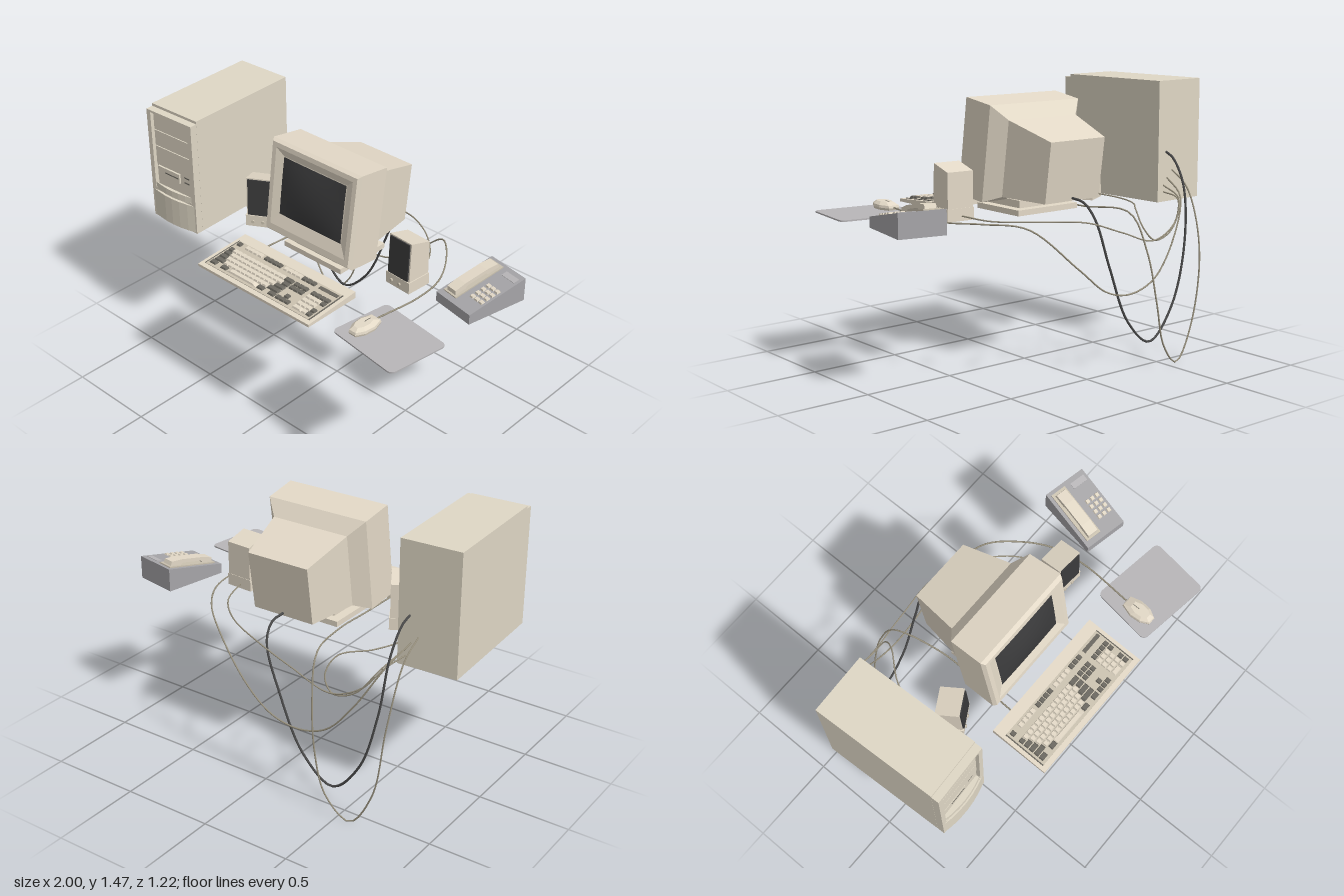
import * as THREE from 'three';
import { mergeGeometries } from 'three/addons/utils/BufferGeometryUtils.js';

const DESK = 0.825;
const mat = (name, color) => {
  const m = new THREE.MeshStandardMaterial({ color });
  m.name = name;
  return m;
};

export function createModel() {
  const M = {
    tower: mat('tower beige', 0xdfd7c5),
    beige: mat('warm beige', 0xe3d9c7),
    bed: mat('shaded beige', 0xcbc2b0),
    grey: mat('phone grey', 0xa6a5a8),
    pad: mat('pad grey', 0xb8b6b8),
    darkKey: mat('dark key', 0x6c6961),
    black: mat('glass black', 0x3a3a3b),
    cable: mat('cable grey', 0x99927f),
    thick: mat('cable dark', 0x4a4a4a),
  };
  const root = new THREE.Group();
  root.name = 'desktopComputer';

  const group = (name, parent, x, y, z, ry = 0, rx = 0) => {
    const g = new THREE.Group();
    g.name = name;
    g.position.set(x, y, z);
    g.rotation.set(rx, ry, 0);
    parent.add(g);
    return g;
  };
  const add = (parent, name, geo, m, x = 0, y = 0, z = 0) => {
    const mesh = new THREE.Mesh(geo, m);
    mesh.name = name;
    mesh.position.set(x, y, z);
    parent.add(mesh);
    return mesh;
  };
  const box = (parent, name, m, w, h, d, x, y, z) =>
    add(parent, name, new THREE.BoxGeometry(w, h, d), m, x, y, z);

  // Flat-faced loft through polygons [[x, y], ...] placed at rising z
  const loft = (sections) => {
    const v = [], n = sections[0].pts.length;
    const tri = (...ps) => ps.forEach(([s, i]) => v.push(...sections[s].pts[i % n], sections[s].z));
    for (let s = 0; s < sections.length - 1; s++)
      for (let i = 0; i < n; i++) {
        tri([s, i], [s, i + 1], [s + 1, i + 1]);
        tri([s, i], [s + 1, i + 1], [s + 1, i]);
      }
    const e = sections.length - 1;
    for (let i = 1; i < n - 1; i++) {
      tri([0, 0], [0, i + 1], [0, i]);
      tri([e, 0], [e, i], [e, i + 1]);
    }
    const g = new THREE.BufferGeometry();
    g.setAttribute('position', new THREE.Float32BufferAttribute(v, 3));
    g.computeVertexNormals();
    return g;
  };
  const rect = (hw, y0, y1, z) => ({ z, pts: [[-hw, y0], [hw, y0], [hw, y1], [-hw, y1]] });
  const poly = (pts) => new THREE.Shape(pts.map((p) => new THREE.Vector2(...p)));
  const extrude = (shape, depth) =>
    new THREE.ExtrudeGeometry(shape, { depth, bevelEnabled: false, curveSegments: 6 });
  // Side profile of (z, y) points, stretched across x
  const side = (pts, w) => extrude(poly(pts), w).rotateY(-Math.PI / 2).translate(w / 2, 0, 0);
  const keycap = (w, d, h) =>
    loft([rect(w / 2, -d / 2, d / 2, 0), rect(w * 0.38, -d * 0.36, d * 0.4, h)]).rotateX(-Math.PI / 2);

  // Tower case with recessed drive bays and a bowed lower panel
  const tower = group('tower', root, -0.82, DESK, 0.03, 0.045);
  box(tower, 'towerCase', M.tower, 0.325, 0.655, 0.68, 0, 0.3275, 0);
  const frame = poly([[-0.162, 0], [0.162, 0], [0.162, 0.64], [-0.162, 0.64]]);
  frame.holes.push(poly([[-0.135, 0.18], [-0.135, 0.628], [0.135, 0.628], [0.135, 0.18]]));
  add(tower, 'towerBezel', extrude(frame, 0.042), M.tower, 0, 0, 0.34);
  box(tower, 'bezelFloor', M.tower, 0.272, 0.45, 0.018, 0, 0.404, 0.349);
  for (const [y, h] of [[0.577, 0.095], [0.48, 0.09], [0.376, 0.108]])
    box(tower, 'driveBay', M.tower, 0.252, h, 0.014, 0, y, 0.362);
  box(tower, 'floppyDrive', M.tower, 0.16, 0.055, 0.014, -0.043, 0.282, 0.362);
  box(tower, 'floppySlot', M.darkKey, 0.1, 0.006, 0.004, -0.02, 0.284, 0.369);
  for (const y of [0.3, 0.27]) box(tower, 'powerButton', M.darkKey, 0.035, 0.007, 0.006, 0.085, y, 0.358);
  const bow = new THREE.Shape();
  bow.moveTo(-0.16, 0);
  bow.quadraticCurveTo(0, -0.045, 0.16, 0);
  const bulge = extrude(bow, 1).rotateX(-Math.PI / 2);
  add(tower, 'lowerPanel', bulge, M.tower, 0, 0.005, 0.38).scale.y = 0.16;
  add(tower, 'panelLip', bulge, M.tower, 0, 0.172, 0.378).scale.set(0.85, 0.038, 0.8);

  // Monitor, leaning back on its stand
  const monitor = group('monitor', root, -0.02, 1.15, 0.05, 0, -0.14);
  add(monitor, 'monitorShell', loft([
    rect(0.18, -0.181, 0.137, -0.435),
    rect(0.225, -0.215, 0.188, -0.15),
    rect(0.297, -0.255, 0.254, -0.08),
    rect(0.301, -0.26, 0.257, 0.11),
    rect(0.288, -0.245, 0.244, 0.13),
    rect(0.262, -0.21, 0.218, 0.13),
    rect(0.217, -0.145, 0.178, 0.114),
  ]), M.beige);
  const glass = new THREE.PlaneGeometry(0.428, 0.318, 12, 10);
  const gp = glass.attributes.position;
  for (let i = 0; i < gp.count; i++) {
    const u = gp.getX(i) / 0.214, w = gp.getY(i) / 0.159;
    gp.setZ(i, 0.024 * (1 - u * u * 0.9) * (1 - w * w * 0.9));
  }
  glass.computeVertexNormals();
  add(monitor, 'screen', glass, M.black, 0, 0.0165, 0.116);
  const stand = group('monitorStand', root, -0.02, DESK, 0);
  box(stand, 'standBase', M.beige, 0.4, 0.03, 0.34, 0, 0.016, 0);
  box(stand, 'standRiser', M.beige, 0.3, 0.04, 0.26, 0, 0.05, 0.01);

  // Pair of speakers with grilles that lean back
  for (const [name, x, z, ry] of [['rightSpeaker', -0.482, 0.062, 0.52], ['leftSpeaker', 0.475, -0.01, -0.07]]) {
    const s = group(name, root, x, DESK, z, ry);
    box(s, 'speakerBase', M.beige, 0.16, 0.065, 0.145, 0, 0.0325, 0);
    add(s, 'speakerBox', side([[-0.07, 0.065], [0.066, 0.065], [0.056, 0.285], [-0.07, 0.25]], 0.15), M.beige);
    add(s, 'speakerGrille', side([[0.064, 0.07], [0.075, 0.07], [0.063, 0.278], [0.054, 0.278]], 0.134), M.black);
    for (const kx of [-0.04, 0.015])
      add(s, 'speakerKnob', new THREE.CylinderGeometry(0.009, 0.009, 0.012, 10).rotateX(Math.PI / 2),
        M.bed, kx, 0.03, 0.075);
  }

  // Keyboard wedge with rows of keys: positive width light, negative dark, string a gap
  const kb = group('keyboard', root, -0.0175, DESK, 0.439);
  add(kb, 'keyboardCase', side([[-0.1685, 0], [0.1685, 0], [0.1685, 0.015], [-0.1685, 0.037]], 0.785), M.beige);
  const deck = group('keyboardDeck', kb, 0, 0.026, 0, 0, 0.0656);
  box(deck, 'keyBed', M.bed, 0.735, 0.004, 0.245, 0, 0.001, 0.018);
  for (const x of [-0.368, 0.368]) box(deck, 'bedEdge', M.darkKey, 0.006, 0.005, 0.245, x, 0.001, 0.018);
  const lights = (n) => Array(n).fill(1);
  const nav = ['.2', -1, -1, -1, '.8'];
  const rows = [
    [-1, '1', 1, 1, 1, 1, '.5', -1, -1, -1, -1, '.5', 1, 1, 1, 1, '.2', -1, -1, -1],
    [-1, ...lights(12), -2, ...nav, -1, -1, -1, -1],
    [-1.5, ...lights(12), -1.5, ...nav, 1, 1, 1, -1],
    [-1.75, ...lights(11), -2.25, '4', 1, 1, 1],
    [-2.25, ...lights(10), -2.75, '1.2', -1, '1.8', 1, 1, 1, -1],
    [-1.5, '1', -1.5, 7, -1.5, '1', -1.5, ...nav, 2, 1, -1],
  ];
  const caps = { light: [], dark: [] };
  const zs = [-0.08, -0.021, 0.012, 0.045, 0.078, 0.111];
  rows.forEach((row, r) => {
    let x = -0.355;
    for (const k of row) {
      const w = Math.abs(Number(k)) * 0.031;
      if (typeof k === 'number')
        caps[k > 0 ? 'light' : 'dark'].push(keycap(w - 0.003, 0.028, 0.011).translate(x + w / 2, 0.002, zs[r]));
      x += w;
    }
  });
  add(deck, 'lightKeys', mergeGeometries(caps.light), M.beige);
  add(deck, 'darkKeys', mergeGeometries(caps.dark), M.darkKey);
  box(deck, 'indicatorPanel', M.darkKey, 0.125, 0.004, 0.022, 0.295, 0.003, -0.08);

  // Mouse pad with rounded corners
  const pad = group('mousePad', root, 0.719, DESK, 0.412, -0.145);
  const ps = new THREE.Shape(), a = 0.217, b = 0.174, c = 0.03;
  ps.absarc(a - c, b - c, c, 0, Math.PI / 2);
  ps.absarc(c - a, b - c, c, Math.PI / 2, Math.PI);
  ps.absarc(c - a, c - b, c, Math.PI, Math.PI * 1.5);
  ps.absarc(a - c, c - b, c, Math.PI * 1.5, Math.PI * 2);
  add(pad, 'padSheet', extrude(ps, 0.008).rotateX(-Math.PI / 2), M.pad);

  // Mouse
  const mouse = group('mouse', root, 0.584, DESK + 0.008, 0.434, -0.03);
  const half = [[0.022, -0.09], [0.046, -0.045], [0.052, 0.02], [0.032, 0.083]];
  const outline = [...half, ...half.map(([x, y]) => [-x, y]).reverse()];
  const ring = (k, z, dy = 0) => ({ z, pts: outline.map(([x, y]) => [x * k, y * k + dy]) });
  add(mouse, 'mouseBody', loft([ring(0.94, 0), ring(1, 0.012), ring(0.95, 0.025), ring(0.6, 0.04, -0.01)])
    .rotateX(-Math.PI / 2), M.beige);
  box(mouse, 'buttonSplit', M.darkKey, 0.003, 0.003, 0.04, 0, 0.04, -0.018);

  // Telephone
  const phone = group('telephone', root, 0.84, DESK, -0.135, -0.2);
  add(phone, 'phoneBase', side([[-0.178, 0], [0.178, 0], [0.178, 0.055], [-0.178, 0.128]], 0.25), M.grey);
  const top = group('phoneTop', phone, 0, 0.0915, 0, 0, 0.203);
  box(top, 'handsetCradle', M.bed, 0.092, 0.008, 0.31, -0.06, 0.003, -0.005);
  add(top, 'handset', side([[-0.145, 0.006], [-0.075, 0.006], [-0.06, 0.018], [0.06, 0.018], [0.075, 0.006],
    [0.14, 0.006], [0.135, 0.03], [0.07, 0.038], [-0.07, 0.038], [-0.14, 0.03]], 0.062), M.beige, -0.06);
  for (let r = 0; r < 4; r++)
    for (let k = 0; k < 3; k++)
      add(top, 'phoneKey', keycap(0.024, 0.024, 0.009), M.beige, 0.035 + k * 0.032, 0, -0.02 + r * 0.034);
  box(top, 'numberCard', M.pad, 0.09, 0.003, 0.035, 0.065, 0.001, -0.135);

  // Cables hanging behind the desk
  const cables = {
    monitorCable: [M.thick, 0.0065, [[-0.735, 1.1, -0.3], [-0.73, 1.07, -0.37], [-0.722, 0.93, -0.46],
      [-0.69, 0.62, -0.505], [-0.59, 0.3, -0.515], [-0.43, 0.135, -0.518], [-0.26, 0.27, -0.525],
      [-0.12, 0.58, -0.53], [-0.035, 0.83, -0.515], [-0.018, 0.91, -0.45], [-0.02, 0.925, -0.345]]],
    keyboardCable: [M.cable, 0.0045, [[-0.785, 1.0, -0.3], [-0.782, 0.91, -0.43], [-0.765, 0.6, -0.545],
      [-0.7, 0.2, -0.56], [-0.575, 0.01, -0.575], [-0.45, 0.13, -0.598], [-0.39, 0.36, -0.605],
      [-0.35, 0.63, -0.57], [-0.31, 0.83, -0.48], [-0.25, 0.836, -0.2], [-0.255, 0.835, 0.05], [-0.265, 0.84, 0.28]]],
    mouseCable: [M.cable, 0.0045, [[-0.75, 0.96, -0.3], [-0.7, 0.87, -0.46], [-0.57, 0.65, -0.53],
      [-0.42, 0.48, -0.55], [-0.25, 0.425, -0.553], [-0.08, 0.46, -0.556], [0.1, 0.6, -0.545],
      [0.35, 0.82, -0.45], [0.5, 0.84, -0.29], [0.59, 0.835, -0.12], [0.612, 0.835, 0.06], [0.588, 0.848, 0.35]]],
    leftSpeakerCable: [M.cable, 0.004, [[-0.72, 0.88, -0.3], [-0.69, 0.86, -0.45], [-0.6, 0.75, -0.515],
      [-0.43, 0.68, -0.535], [-0.2, 0.75, -0.535], [0.03, 0.825, -0.52], [0.25, 0.84, -0.42],
      [0.42, 0.84, -0.25], [0.472, 0.85, -0.08]]],
    rightSpeakerCable: [M.cable, 0.004, [[-0.72, 0.92, -0.3], [-0.68, 0.86, -0.47], [-0.57, 0.72, -0.525],
      [-0.44, 0.68, -0.53], [-0.38, 0.75, -0.505], [-0.4, 0.83, -0.43], [-0.52, 0.836, -0.28],
      [-0.58, 0.836, -0.1], [-0.53, 0.85, 0.01]]],
  };
  for (const [name, [m, r, pts]] of Object.entries(cables)) {
    const curve = new THREE.CatmullRomCurve3(pts.map((p) => new THREE.Vector3(...p)));
    add(root, name, new THREE.TubeGeometry(curve, 64, r, 6), m);
  }
  return root;
}
